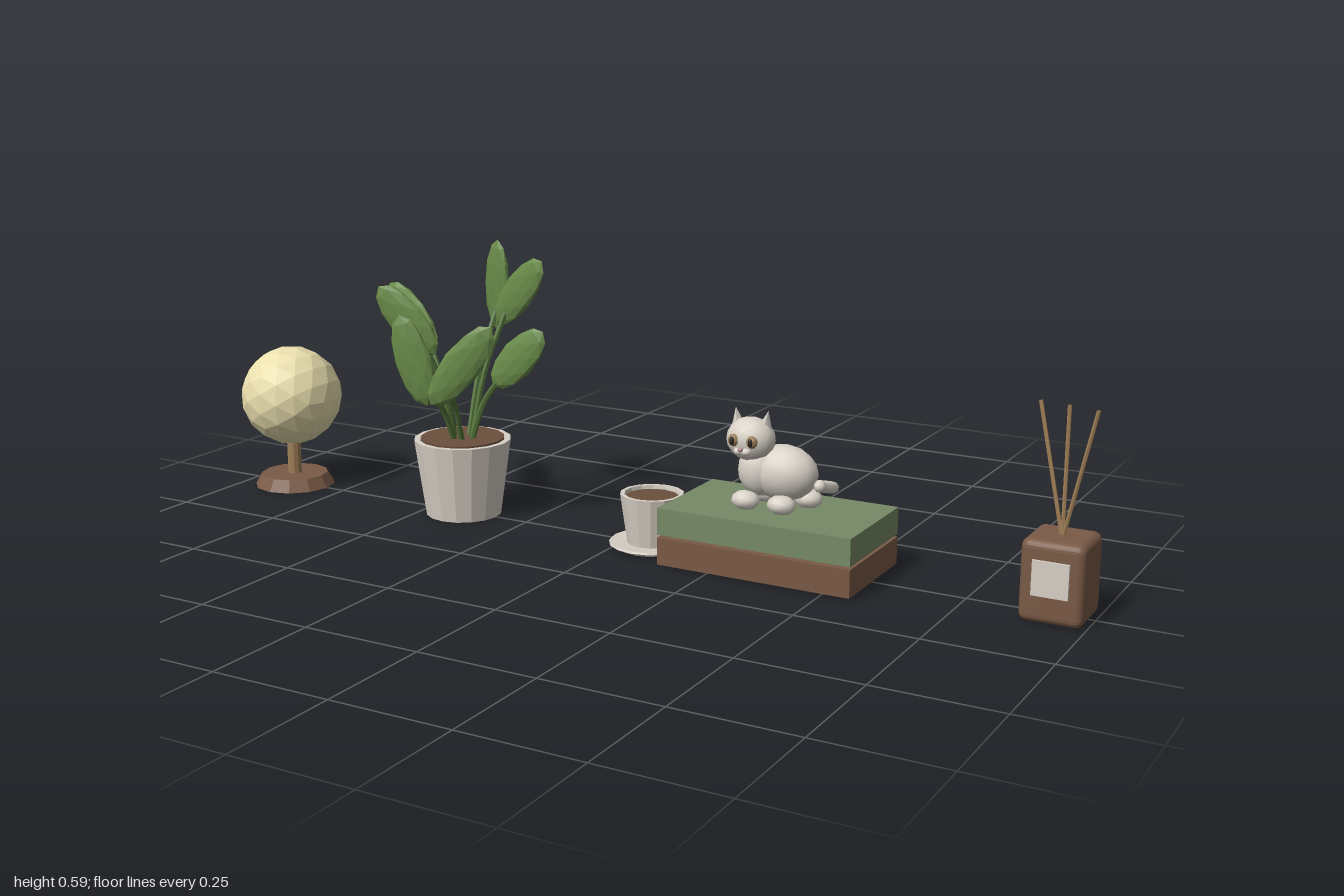
import * as THREE from 'three';
import { RoundedBoxGeometry } from 'three/addons/geometries/RoundedBoxGeometry.js';

const V = (x, y, z) => new THREE.Vector3(x, y, z);
const mat = (color, flat = true) =>
  new THREE.MeshStandardMaterial({ color, flatShading: flat, side: THREE.DoubleSide });

export function createModel() {
  const root = new THREE.Group();
  root.name = 'shelfDecor';
  const wood = mat(0x7a5a46), cream = mat(0xeadfae), ceramic = mat(0xd8d0c6),
    green = mat(0x768a66), leafGreen = mat(0x6a8c4a), stemGreen = mat(0x55753c),
    soil = mat(0x6b4f3c), fur = mat(0xd9d2c8, false), reedTan = mat(0xa08058),
    eyeBrown = mat(0x9a8058), dark = mat(0x2a2420), pink = mat(0xb89090);

  const group = (name, x = 0, y = 0, z = 0) => {
    const g = new THREE.Group();
    g.name = name;
    g.position.set(x, y, z);
    root.add(g);
    return g;
  };
  const add = (parent, name, geo, material, x = 0, y = 0, z = 0) => {
    const m = new THREE.Mesh(geo, material);
    m.name = name;
    m.position.set(x, y, z);
    parent.add(m);
    return m;
  };
  const ball = (parent, name, material, p, s, detail = 2) => {
    const m = add(parent, name, new THREE.IcosahedronGeometry(1, detail), material, ...p);
    m.scale.set(...s);
    return m;
  };
  const lathe = (pts, sides) =>
    new THREE.LatheGeometry(pts.map(([r, y]) => new THREE.Vector2(r, y)), sides);
  const tube = (pts, r, seg = 10, sides = 6) =>
    new THREE.TubeGeometry(new THREE.CatmullRomCurve3(pts), seg, r, sides);

  // Globe lamp
  const lamp = group('lamp', -0.888, 0, 0.003);
  add(lamp, 'lampBase', new THREE.CylinderGeometry(0.076, 0.092, 0.027, 12), wood, 0, 0.0135);
  add(lamp, 'lampStem', new THREE.CylinderGeometry(0.016, 0.016, 0.1, 10), reedTan, 0, 0.07);
  ball(lamp, 'lampGlobe', cream, [0, 0.211, 0], [0.115, 0.114, 0.115]);

  // Potted plant
  const plant = group('plant', -0.411, 0, 0.003);
  add(plant, 'pot', lathe([[0, 0], [0.083, 0], [0.107, 0.17], [0.094, 0.17], [0.09, 0.14]], 16), ceramic);
  add(plant, 'soil', new THREE.CylinderGeometry(0.092, 0.09, 0.02, 16), soil, 0, 0.163);

  // Each leaf: base, tip and turn of the blade about the vertical
  const leaves = [
    [V(-0.41, 0.39, -0.138), V(-0.395, 0.59, -0.124), -0.35],
    [V(-0.375, 0.42, -0.087), V(-0.238, 0.565, -0.053), -0.25],
    [V(-0.43, 0.37, 0.073), V(-0.548, 0.508, 0.106), 0.2],
    [V(-0.495, 0.36, -0.02), V(-0.617, 0.49, -0.025), -0.1],
    [V(-0.42, 0.268, 0.121), V(-0.472, 0.457, 0.139), 0.25],
    [V(-0.405, 0.272, 0.124), V(-0.275, 0.443, 0.09), 0.35],
    [V(-0.325, 0.3, 0.005), V(-0.203, 0.425, 0.002), -0.05],
  ];
  for (const [base, tip, yaw] of leaves) {
    const off = plant.position;
    const mid = base.clone().lerp(tip, 0.5).sub(off);
    const up = tip.clone().sub(base);
    const len = up.length();
    up.normalize();
    const side = up.clone().cross(V(Math.sin(yaw), 0, Math.cos(yaw))).normalize();
    const normal = side.clone().cross(up);
    const leaf = ball(plant, 'leaf', leafGreen, mid.toArray(), [0.041, len / 2 + 0.003, 0.013], 1);
    leaf.quaternion.setFromRotationMatrix(new THREE.Matrix4().makeBasis(side, up, normal));
    const foot = V(mid.x * 0.15, 0.16, mid.z * 0.15);
    const end = base.clone().sub(off).addScaledVector(up, len * 0.25);
    const bend = foot.clone().lerp(end, 0.5);
    bend.x *= 0.85;
    bend.z *= 0.85;
    bend.y += 0.012;
    add(plant, 'leafStem', tube([foot, bend, end], 0.0065), stemGreen);
  }

  // Cup on a saucer
  const cup = group('cup', 0.071, 0, 0.016);
  add(cup, 'saucer', lathe([[0, 0], [0.07, 0], [0.09, 0.01], [0.088, 0.014], [0.05, 0.01], [0, 0.01]], 16), ceramic);
  add(cup, 'cupBody', lathe([[0, 0.012], [0.052, 0.012], [0.067, 0.117], [0.058, 0.117], [0.055, 0.09]], 14), ceramic);
  add(cup, 'coffee', new THREE.CylinderGeometry(0.057, 0.056, 0.008, 14), soil, 0, 0.105);
  add(cup, 'cupHandle', new THREE.TorusGeometry(0.028, 0.007, 6, 12), ceramic, 0.062, 0.068);

  // Stacked books
  const books = group('books', 0.351, 0, 0.002);
  add(books, 'lowerBook', new THREE.BoxGeometry(0.418, 0.057, 0.245), wood, 0, 0.0325);
  add(books, 'upperBook', new THREE.BoxGeometry(0.418, 0.056, 0.245), green, 0, 0.095);

  // Cat figurine, facing the front with its body turned sideways
  const cat = group('cat');
  ball(cat, 'catBody', fur, [0.362, 0.198, 0.002], [0.073, 0.057, 0.052]);
  ball(cat, 'catChest', fur, [0.315, 0.2, 0.012], [0.045, 0.055, 0.042]);
  const head = ball(cat, 'catHead', fur, [0.301, 0.265, 0.027], [0.051, 0.045, 0.043]);
  for (const s of [-1, 1]) {
    const x = head.position.x;
    const ear = add(cat, 'catEar', new THREE.ConeGeometry(0.018, 0.044, 4), fur, x + s * 0.032, 0.304, 0.024);
    ear.rotation.z = -s * 0.18;
    ear.scale.z = 0.7;
    ball(cat, 'catEye', eyeBrown, [x + s * 0.02, 0.268, 0.065], [0.012, 0.013, 0.009], 1);
    ball(cat, 'catPupil', dark, [x + s * 0.02, 0.268, 0.0725], [0.005, 0.009, 0.004], 1);
    ball(cat, 'catMuzzle', fur, [x + s * 0.008, 0.247, 0.066], [0.011, 0.008, 0.01], 1);
  }
  ball(cat, 'catNose', pink, [0.301, 0.253, 0.076], [0.006, 0.005, 0.005], 1);
  for (const [x, z] of [[0.3, 0.046], [0.378, 0.045], [0.31, -0.025], [0.405, -0.025]])
    ball(cat, 'catPaw', fur, [x, 0.143, z], [0.03, 0.02, 0.026], 1);
  add(cat, 'catTail', tube(
    [V(0.4, 0.165, -0.045), V(0.445, 0.168, -0.043), V(0.462, 0.177, -0.01), V(0.458, 0.192, 0.042)],
    0.012, 14, 8), fur);
  ball(cat, 'catTailTip', fur, [0.458, 0.192, 0.042], [0.012, 0.012, 0.012], 1);

  // Reed diffuser
  const diffuser = group('diffuser', 0.932, 0, 0.011);
  add(diffuser, 'bottle', new RoundedBoxGeometry(0.122, 0.16, 0.123, 3, 0.016), wood, 0, 0.08);
  add(diffuser, 'label', new THREE.BoxGeometry(0.07, 0.068, 0.006), ceramic, 0, 0.09, 0.064);
  for (const [x, z] of [[-0.058, -0.014], [0, 0], [0.058, 0.018]])
    add(diffuser, 'reed', tube([V(0, 0.15, 0), V(x, 0.405, z)], 0.004, 1), reedTan);

  return root;
}
